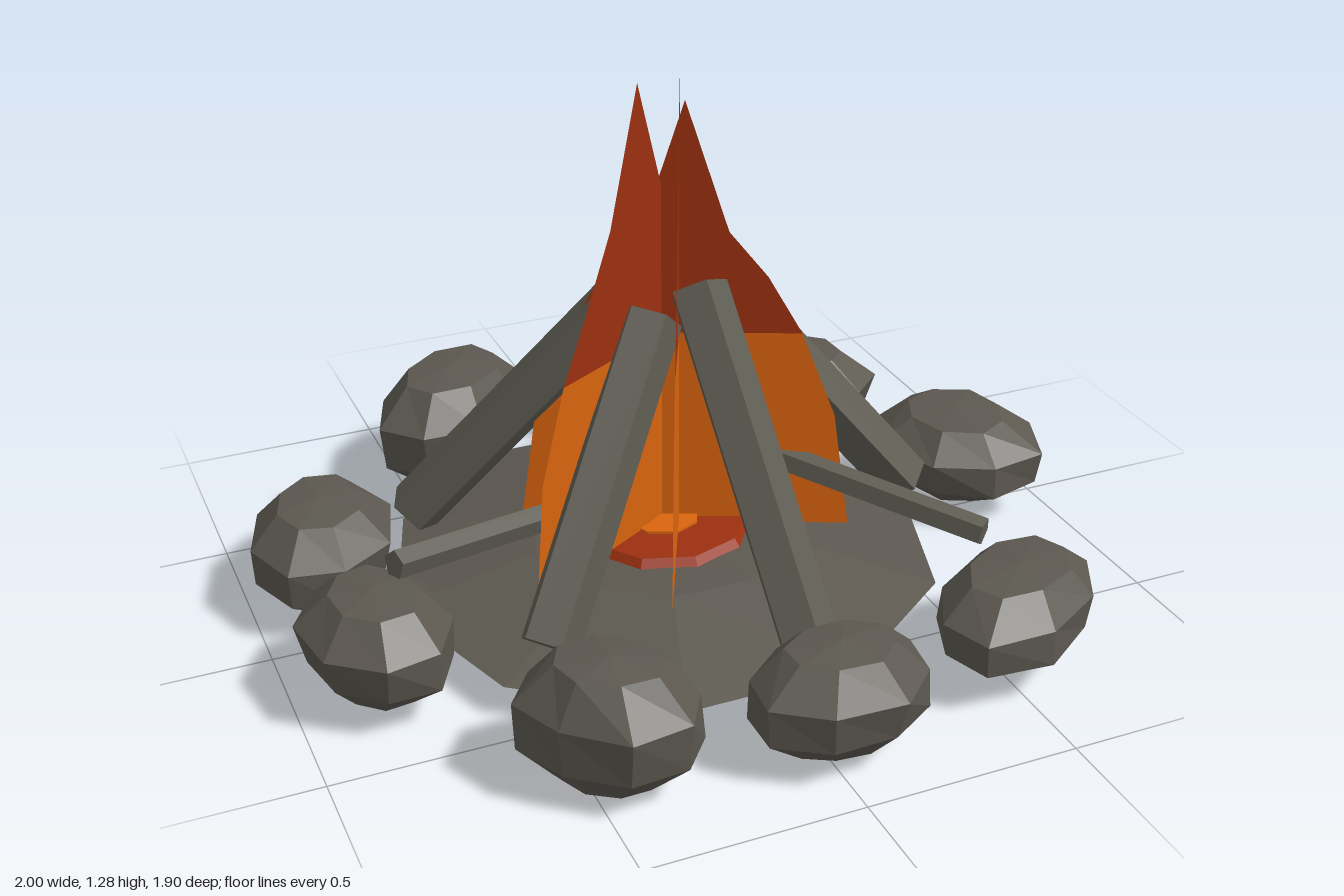
import * as THREE from 'three';

const material = (name, color, side = THREE.FrontSide) => {
  const m = new THREE.MeshStandardMaterial({ color, side });
  m.name = name;
  return m;
};

// Faceted normals for the low-poly look
function faceted(geometry) {
  const g = geometry.index ? geometry.toNonIndexed() : geometry;
  g.computeVertexNormals();
  return g;
}

function seeded(seed) {
  let s = seed * 7919 + 17;
  return () => (s = (s * 16807) % 2147483647) / 2147483647;
}

const profile = (pairs) => pairs.map(([x, y]) => new THREE.Vector2(x, y));

export function createModel() {
  const stone = material('stone grey', 0x5c5850);
  const wood = material('charred wood', 0x5e5c52);
  const red = material('flame red', 0x9c3010, THREE.DoubleSide);
  const orange = material('flame orange', 0xd9640e, THREE.DoubleSide);

  const model = new THREE.Group();
  model.name = 'campfire';
  const add = (name, geometry, mat, parent = model) => {
    const mesh = new THREE.Mesh(faceted(geometry), mat);
    mesh.name = name;
    parent.add(mesh);
    return mesh;
  };

  // Low ten-sided ash mound with glowing embers in the middle
  const mound = profile([[0, 0.08], [0.66, 0.08], [0.32, 0.15], [0, 0.165]]);
  add('ashMound', new THREE.LatheGeometry(mound, 10, Math.PI / 2), stone).position.set(-0.05, 0, 0.03);
  add('embers', new THREE.CylinderGeometry(0.2, 0.22, 0.03, 10), red).position.set(-0.05, 0.16, 0.03);
  add('emberCore', new THREE.CylinderGeometry(0.09, 0.09, 0.006, 8), orange).position.set(-0.05, 0.178, 0.03);

  // Ring of rough stones: centre x, z, half length, half depth, turn, bottom, top
  const stones = [
    [-0.82, -0.22, 0.22, 0.165, 1.3, 0.02, 0.27],
    [-0.81, 0.23, 0.2, 0.16, 1.75, 0.02, 0.28],
    [-0.45, 0.71, 0.2, 0.15, -0.6, 0.0, 0.31],
    [0.03, 0.805, 0.2, 0.145, 0, 0.02, 0.28],
    [0.55, 0.66, 0.24, 0.16, 0.5, 0.03, 0.26],
    [0.8, -0.05, 0.22, 0.19, 1.9, 0.03, 0.26],
    [0.595, -0.555, 0.205, 0.15, -0.8, 0.02, 0.25],
    [0.095, -0.8, 0.18, 0.155, 0.1, 0.02, 0.28],
    [-0.345, -0.68, 0.24, 0.165, 0.65, 0.0, 0.32],
  ];
  const rock = profile([[0, 0], [0.5, 0.03], [0.93, 0.3], [1, 0.66], [0.6, 0.95], [0, 1]]);
  const ring = new THREE.Group();
  ring.name = 'stoneRing';
  model.add(ring);
  stones.forEach(([x, z, rx, rz, turn, low, high], i) => {
    const g = new THREE.LatheGeometry(rock, 8, Math.PI / 8);
    const rnd = seeded(i + 1);
    const jitter = Array.from({ length: 8 * rock.length }, () => 0.92 + 0.14 * rnd());
    const p = g.attributes.position;
    for (let v = 0; v < p.count; v++) {
      const k = jitter[v % (8 * rock.length)];
      p.setX(v, p.getX(v) * k);
      p.setZ(v, p.getZ(v) * k);
    }
    g.scale(rx * 1.04, high - low, rz * 1.04);
    g.rotateY(turn);
    add('stone', g, stone, ring).position.set(x, low, z);
  });

  // A faceted pole running between two points
  const up = new THREE.Vector3(0, 1, 0);
  function pole(name, from, to, radius, sides) {
    const a = new THREE.Vector3(...from), b = new THREE.Vector3(...to);
    const dir = b.clone().sub(a);
    const mesh = add(name, new THREE.CylinderGeometry(radius, radius, dir.length(), sides), wood);
    mesh.quaternion.setFromUnitVectors(up, dir.normalize());
    mesh.position.copy(a.add(b).multiplyScalar(0.5));
  }

  // Five logs leaning into a cone
  [
    [[0.04, 0.16, -0.57], [-0.06, 0.8, -0.07]],
    [[0.58, 0.16, 0.07], [0.05, 0.81, 0.0]],
    [[0.04, 0.16, 0.64], [0.0, 0.8, 0.12]],
    [[-0.48, 0.16, 0.42], [-0.1, 0.74, 0.1]],
    [[-0.58, 0.16, -0.26], [-0.12, 0.75, -0.01]],
  ].forEach(([from, to]) => pole('leaningLog', from, to, 0.07, 5));

  // Two thin sticks crossing through the fire
  pole('stick', [-0.75, 0.3, 0.19], [0.29, 0.13, -0.25], 0.034, 5);
  pole('stick', [0.54, 0.26, 0.52], [-0.21, 0.42, -0.37], 0.034, 5);

  // Crossed flame sheets: orange below, red tip above
  function sheet(points) {
    return new THREE.ShapeGeometry(new THREE.Shape(profile(points)));
  }
  function flame(x, z, top, angle, base) {
    const group = new THREE.Group();
    group.name = 'flame';
    group.position.set(x, 0, z);
    group.rotation.y = angle;
    model.add(group);
    add('flameBase', sheet([[-base, 0.16], [base, 0.16], [0.35, 0.45], [0.27, 0.66],
      [-0.27, 0.66], [-0.35, 0.45]]), orange, group);
    add('flameTip', sheet([[-0.27, 0.66], [0.27, 0.66], [0.19, 0.8], [0.1, top - 0.31],
      [0, top], [-0.1, top - 0.31], [-0.19, 0.8]]), red, group);
  }
  flame(-0.12, 0.07, 1.28, 0.53, 0.38);
  flame(0.0, 0.05, 1.22, -0.42, 0.39);
  flame(0.0, 0.02, 1.28, 1.13, 0.43);

  return model;
}
